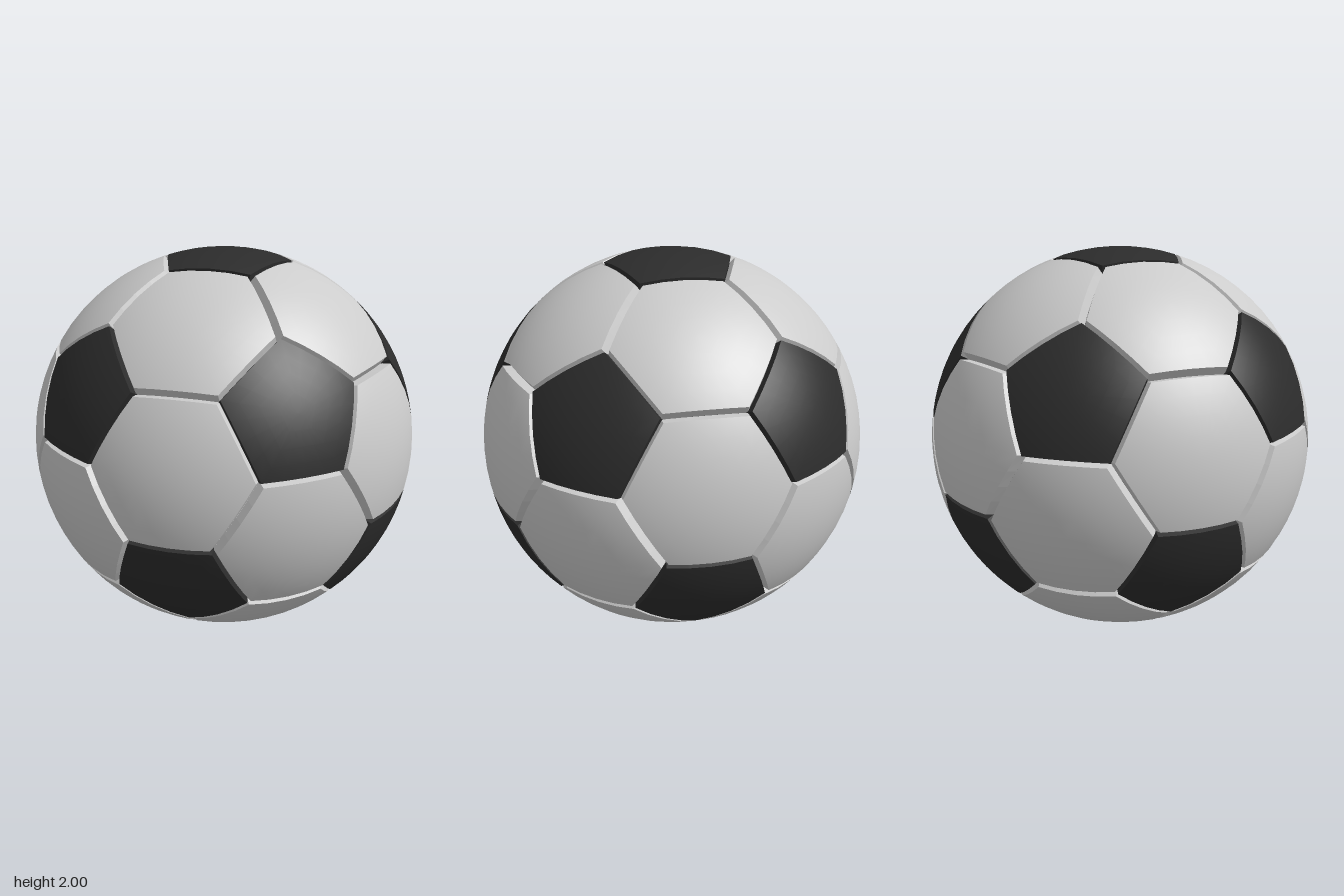
import * as THREE from 'three';

const RADIUS = 1, GROOVE_RADIUS = 0.955, STEPS = 4;
const rad = THREE.MathUtils.degToRad;
const polar = (y, azimuth) => {
  const r = Math.sqrt(1 - y * y);
  return new THREE.Vector3(r * Math.sin(azimuth), y, r * Math.cos(azimuth));
};

// Lofts a surface through rings of points, each ring closed on itself
function loft(rings, smooth) {
  const n = rings[0].length, index = [];
  for (let i = 0; i < rings.length - 1; i++) {
    for (let j = 0; j < n; j++) {
      const k = (j + 1) % n, a = i * n + j, b = a + n, c = (i + 1) * n + k, d = i * n + k;
      index.push(a, b, c);
      if (!(smooth && i === 0)) index.push(a, c, d); // first smooth ring is the centre point
    }
  }
  let geometry = new THREE.BufferGeometry().setFromPoints(rings.flat());
  geometry.setIndex(index);
  if (smooth) {
    // Domed face: normals point straight out from the ball's centre
    const normals = rings.flat().flatMap((p) => p.clone().normalize().toArray());
    geometry.setAttribute('normal', new THREE.Float32BufferAttribute(normals, 3));
  } else {
    geometry = geometry.toNonIndexed();
    geometry.computeVertexNormals();
  }
  return geometry;
}

// One panel: a domed regular polygon with a bevelled rim sinking into the seam
function createPanel(name, center, toward, sides, turn, faceAngle, seamAngle, material) {
  const u = toward.clone().addScaledVector(center, -toward.dot(center)).normalize();
  const v = new THREE.Vector3().crossVectors(center, u);
  const corner = (k) => {
    const a = turn + (k * 2 * Math.PI) / sides;
    return new THREE.Vector2(Math.cos(a), Math.sin(a)).divideScalar(Math.cos(Math.PI / sides));
  };
  const ring = (scale, radius) => {
    const points = [];
    for (let k = 0; k < sides; k++) {
      for (let s = 0; s < STEPS; s++) {
        const p = corner(k).lerp(corner(k + 1), s / STEPS).multiplyScalar(scale);
        points.push(center.clone().addScaledVector(u, p.x).addScaledVector(v, p.y).setLength(radius));
      }
    }
    return points;
  };
  const edge = Math.tan(rad(faceAngle));
  const faceRings = Array.from({ length: STEPS + 1 }, (_, i) => ring((edge * i) / STEPS, RADIUS));
  const rimRings = [ring(edge, RADIUS), ring(Math.tan(rad(seamAngle)), GROOVE_RADIUS)];

  const panel = new THREE.Group();
  panel.name = name;
  const face = new THREE.Mesh(loft(faceRings, true), material);
  face.name = 'panelFace';
  const rim = new THREE.Mesh(loft(rimRings, false), material);
  rim.name = 'panelBevel';
  panel.add(face, rim);
  return panel;
}

export function createModel() {
  const ball = new THREE.Group();
  ball.name = 'ball';
  const white = new THREE.MeshStandardMaterial({ color: 0xcccccc, side: THREE.DoubleSide });
  const black = new THREE.MeshStandardMaterial({ color: 0x2c2c2c, side: THREE.DoubleSide });

  // Twelve icosahedron corners: two poles and two staggered rings of five
  const poles = [new THREE.Vector3(0, 1, 0), new THREE.Vector3(0, -1, 0)];
  const h = 1 / Math.sqrt(5);
  for (let k = 0; k < 5; k++) {
    poles.push(polar(h, rad(-6.5 + 72 * k)), polar(-h, rad(29.5 + 72 * k)));
  }
  const adjacent = (a, b) => Math.abs(a.dot(b) - h) < 0.01;

  // Black pentagons, with corners pointing at the neighbouring pentagons
  for (const p of poles) {
    const neighbour = poles.find((q) => adjacent(p, q));
    ball.add(createPanel('blackPentagon', p, neighbour, 5, 0, 16.35, 16.8, black));
  }

  // White hexagons, one between every three neighbouring pentagons
  for (let i = 0; i < 12; i++) {
    for (let j = i + 1; j < 12; j++) {
      for (let k = j + 1; k < 12; k++) {
        const [a, b, c] = [poles[i], poles[j], poles[k]];
        if (!adjacent(a, b) || !adjacent(b, c) || !adjacent(a, c)) continue;
        const center = a.clone().add(b).add(c).normalize();
        ball.add(createPanel('whiteHexagon', center, a, 6, Math.PI / 6, 19.75, 20.9, white));
      }
    }
  }

  ball.position.y = RADIUS;
  const model = new THREE.Group();
  model.name = 'footBall';
  model.add(ball);
  return model;
}
